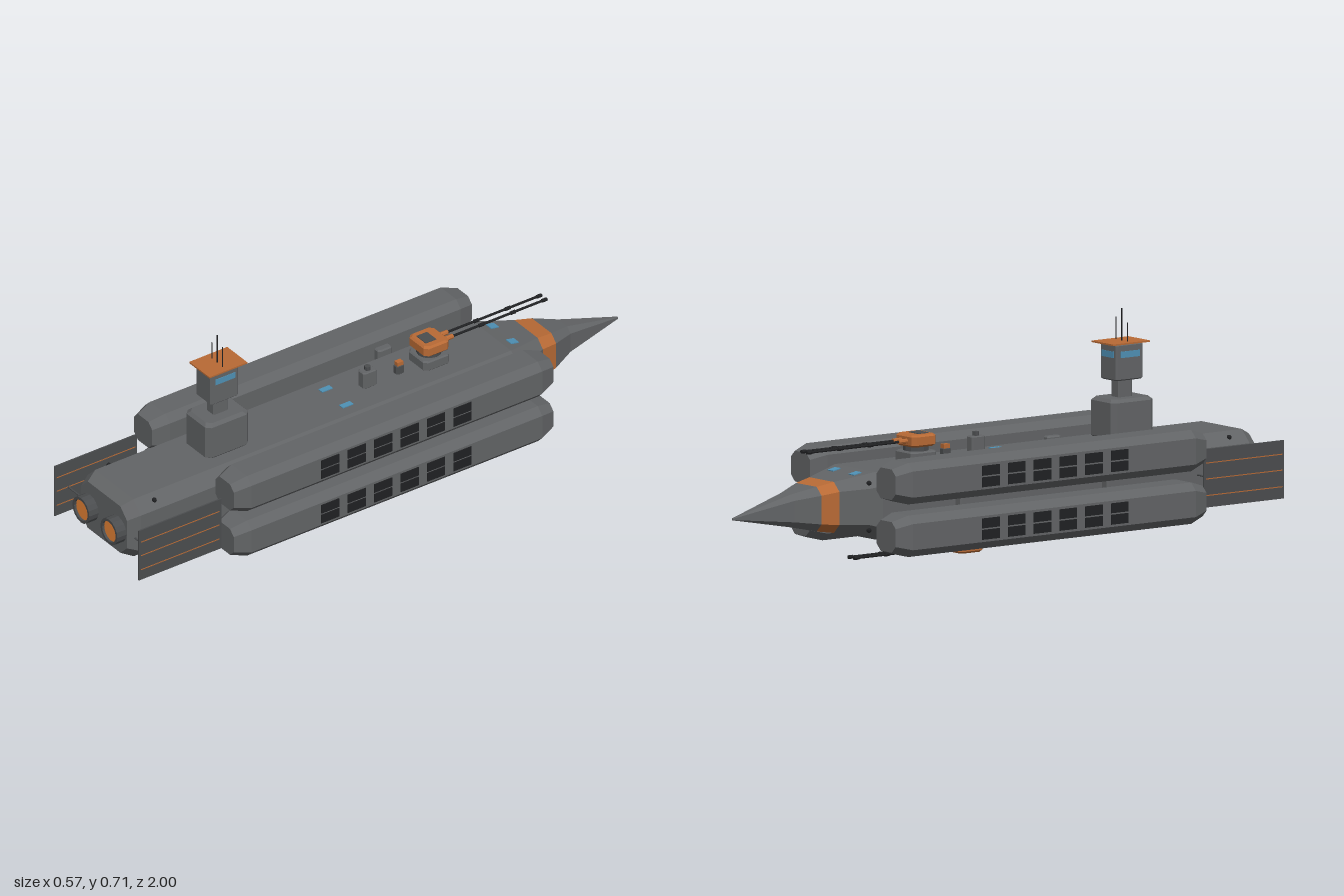
import * as THREE from 'three';

const mat = (color) => new THREE.MeshStandardMaterial({ color, flatShading: true, side: THREE.DoubleSide });
const hullMat = mat(0x626466), darkMat = mat(0x4b4d4f), blackMat = mat(0x202123);
const orangeMat = mat(0xb86a35), glowMat = mat(0xe88436), glassMat = mat(0x4f91b5);

function add(parent, name, geometry, material, x = 0, y = 0, z = 0) {
  const mesh = new THREE.Mesh(geometry, material);
  mesh.name = name;
  mesh.position.set(x, y, z);
  parent.add(mesh);
  return mesh;
}

const box = (w, h, d) => new THREE.BoxGeometry(w, h, d);
const rod = (r, length, sides = 8) => new THREE.CylinderGeometry(r, r, length, sides);
const rodZ = (r, length, sides = 8) => rod(r, length, sides).rotateX(Math.PI / 2);

// Joins chamfered rectangles, each [z, halfWidth, yLow, yHigh, chamfer], from high z to low z
function loft(sections) {
  const rings = sections.map(([z, w, lo, hi, c]) => [
    [w, lo + c], [w, hi - c], [w - c, hi], [c - w, hi],
    [-w, hi - c], [-w, lo + c], [c - w, lo], [w - c, lo],
  ].map(([x, y]) => [x, y, z]));
  const points = [];
  const tri = (a, b, c) => points.push(...a, ...b, ...c);
  for (let i = 0; i < rings.length - 1; i++) {
    for (let j = 0; j < 8; j++) {
      const k = (j + 1) % 8, p = rings[i], q = rings[i + 1];
      tri(p[j], q[j], q[k]);
      tri(p[j], q[k], p[k]);
    }
  }
  const first = rings[0], last = rings[rings.length - 1];
  for (let j = 1; j < 7; j++) {
    tri(first[0], first[j], first[j + 1]);
    tri(last[0], last[j + 1], last[j]);
  }
  const geometry = new THREE.BufferGeometry();
  geometry.setAttribute('position', new THREE.Float32BufferAttribute(points, 3));
  geometry.computeVertexNormals();
  return geometry;
}

// Upright block with chamfered corners and bevelled top and bottom, standing on y = 0
function block(w, h, d, c, bevel) {
  const ring = (y, inset) => [y, w / 2 - inset, inset - d / 2, d / 2 - inset, c];
  return loft([ring(h, bevel), ring(h - bevel, 0), ring(bevel, 0), ring(0, bevel)]).rotateX(-Math.PI / 2);
}

// Twin-barrelled turret standing on y = 0 and aiming at -z
function makeTurret(name) {
  const turret = new THREE.Group();
  turret.name = name;
  add(turret, 'turretBase', block(0.1, 0.035, 0.1, 0.012, 0.004), hullMat);
  add(turret, 'turretRing', rod(0.04, 0.02, 12), darkMat, 0, 0.042, 0);
  add(turret, 'turretBody', block(0.1, 0.038, 0.095, 0.012, 0.006), orangeMat, 0, 0.05, 0);
  add(turret, 'turretHatch', box(0.05, 0.003, 0.04), darkMat, 0, 0.0885, 0.01);
  for (const x of [-0.014, 0.014]) {
    add(turret, 'barrelSleeve', rodZ(0.008, 0.04), orangeMat, x, 0.068, -0.06);
    add(turret, 'barrel', rodZ(0.004, 0.4), blackMat, x, 0.068, -0.24);
    for (const z of [-0.19, -0.31, -0.43]) add(turret, 'barrelCollar', rodZ(0.006, 0.018), blackMat, x, 0.068, z);
  }
  return turret;
}

// Long side pod with rows of dark vents on its outer face
function makePod(side, y) {
  const pod = new THREE.Group();
  pod.name = 'sidePod';
  pod.position.set(side * 0.217, y, 0);
  add(pod, 'podShell', loft([
    [0.655, 0.048, -0.048, 0.048, 0.02], [0.6, 0.065, -0.065, 0.065, 0.024],
    [-0.51, 0.065, -0.065, 0.065, 0.024], [-0.565, 0.048, -0.048, 0.048, 0.02],
  ]), hullMat);
  for (let i = 0; i < 6; i++) {
    for (const row of [-0.018, 0.018]) {
      add(pod, 'vent', box(0.006, 0.031, 0.068), blackMat, side * 0.0645, row, 0.3 - i * 0.101);
    }
  }
  return pod;
}

// Upright radiator panel on two struts
function makeRadiator(side) {
  const radiator = new THREE.Group();
  radiator.name = 'radiator';
  add(radiator, 'radiatorPanel', box(0.005, 0.183, 0.315), darkMat, side * 0.224, 0.184, 0.832);
  for (const y of [0.13, 0.182, 0.232]) {
    add(radiator, 'radiatorStripe', box(0.007, 0.003, 0.3), orangeMat, side * 0.224, y, 0.832);
  }
  for (const z of [0.715, 0.938]) {
    add(radiator, 'radiatorStrut', rod(0.003, 0.09).rotateZ(Math.PI / 2), darkMat, side * 0.18, 0.182, z);
  }
  return radiator;
}

function makeTower() {
  const tower = new THREE.Group();
  tower.name = 'tower';
  tower.position.set(0, 0.3, 0.528);
  add(tower, 'towerBase', block(0.128, 0.13, 0.164, 0.015, 0.01), hullMat);
  add(tower, 'towerNeck', block(0.04, 0.06, 0.055, 0.004, 0.001), hullMat, 0, 0.128, 0);
  add(tower, 'towerCabin', block(0.084, 0.114, 0.107, 0.006, 0.004), hullMat, 0, 0.185, 0);
  add(tower, 'towerRoof', box(0.107, 0.005, 0.145), orangeMat, 0, 0.302, -0.004);
  for (const s of [-1, 1]) add(tower, 'sideWindow', box(0.004, 0.02, 0.075), glassMat, s * 0.042, 0.267, 0);
  add(tower, 'bridgeWindow', box(0.06, 0.02, 0.004), glassMat, 0, 0.267, -0.0535);
  for (const [x, h] of [[-0.029, 0.06], [0, 0.103], [0.029, 0.073]]) {
    add(tower, 'antenna', rod(0.0018, h, 6), blackMat, x, 0.303 + h / 2, 0);
  }
  return tower;
}

export function createModel() {
  const ship = new THREE.Group();
  ship.name = 'ship';

  // Hull and tapering nose, with a painted band
  const bandStart = [-0.65, 0.09, 0.118, 0.278, 0.028], bandEnd = [-0.71, 0.077, 0.127, 0.267, 0.025];
  add(ship, 'hull', loft([
    [0.96, 0.122, 0.11, 0.282, 0.035], [0.92, 0.142, 0.09, 0.302, 0.04], [-0.52, 0.142, 0.09, 0.302, 0.04],
  ]), hullMat);
  add(ship, 'noseBase', loft([[-0.52, 0.142, 0.09, 0.302, 0.04], [-0.56, 0.128, 0.104, 0.294, 0.038], bandStart]), hullMat);
  add(ship, 'noseBand', loft([bandStart, bandEnd]), orangeMat);
  add(ship, 'noseTip', loft([bandEnd, [-0.79, 0.042, 0.144, 0.247, 0.018], [-1, 0.003, 0.183, 0.189, 0.001]]), hullMat);

  for (const side of [-1, 1]) {
    // Pods, pylons and radiators
    for (const y of [0.118, 0.283]) ship.add(makePod(side, y));
    for (const z of [0.367, -0.208]) {
      add(ship, 'pylon', block(0.042, 0.23, 0.054, 0.006, 0.004), hullMat, side * 0.15, 0.074, z);
    }
    ship.add(makeRadiator(side));

    // Engine nozzle with a glowing disc
    const rim = [[0.036, 0], [0.045, 0], [0.045, 0.045], [0.036, 0.045], [0.036, 0.03]];
    const nozzle = new THREE.LatheGeometry(rim.map(([r, y]) => new THREE.Vector2(r, y)), 16).rotateX(Math.PI / 2);
    add(ship, 'engineNozzle', nozzle, darkMat, side * 0.0745, 0.195, 0.95);
    add(ship, 'engineGlow', rodZ(0.036, 0.03, 24), glowMat, side * 0.0745, 0.195, 0.972);

    // Deck windows and small thrusters
    add(ship, 'deckWindow', box(0.02, 0.006, 0.04), glassMat, side * 0.055, 0.302, 0.075);
    add(ship, 'noseWindow', box(0.028, 0.006, 0.03), glassMat, side * 0.053, 0.294, -0.56).rotation.x = -0.2;
    for (const [x, y, z] of [[0.121, 0.284, 0.855], [0.121, 0.11, 0.855], [0.117, 0.272, -0.555], [0.117, 0.124, -0.555]]) {
      add(ship, 'thruster', new THREE.SphereGeometry(0.008, 8, 6), blackMat, side * x, y, z);
    }
  }

  ship.add(makeTower());

  // Deck and belly turrets
  const deckTurret = makeTurret('deckTurret');
  deckTurret.position.set(0, 0.302, -0.28);
  const bellyTurret = makeTurret('bellyTurret');
  bellyTurret.position.set(0, 0.09, -0.095);
  bellyTurret.rotation.z = Math.PI;
  ship.add(deckTurret, bellyTurret);

  // Deck locker, sensor and belly lamp
  add(ship, 'deckLocker', block(0.036, 0.058, 0.052, 0.006, 0.003), hullMat, 0, 0.302, -0.045);
  add(ship, 'lockerCap', rod(0.01, 0.014), darkMat, 0, 0.366, -0.045);
  add(ship, 'sensorPost', block(0.022, 0.03, 0.03, 0.004, 0.002), darkMat, 0, 0.302, -0.165);
  add(ship, 'sensorHead', box(0.018, 0.014, 0.022), orangeMat, 0, 0.338, -0.165);
  add(ship, 'lampMount', box(0.026, 0.012, 0.03), darkMat, 0, 0.085, 0.3);
  add(ship, 'bellyLamp', box(0.02, 0.012, 0.024), orangeMat, 0, 0.076, 0.3);

  return ship;
}
